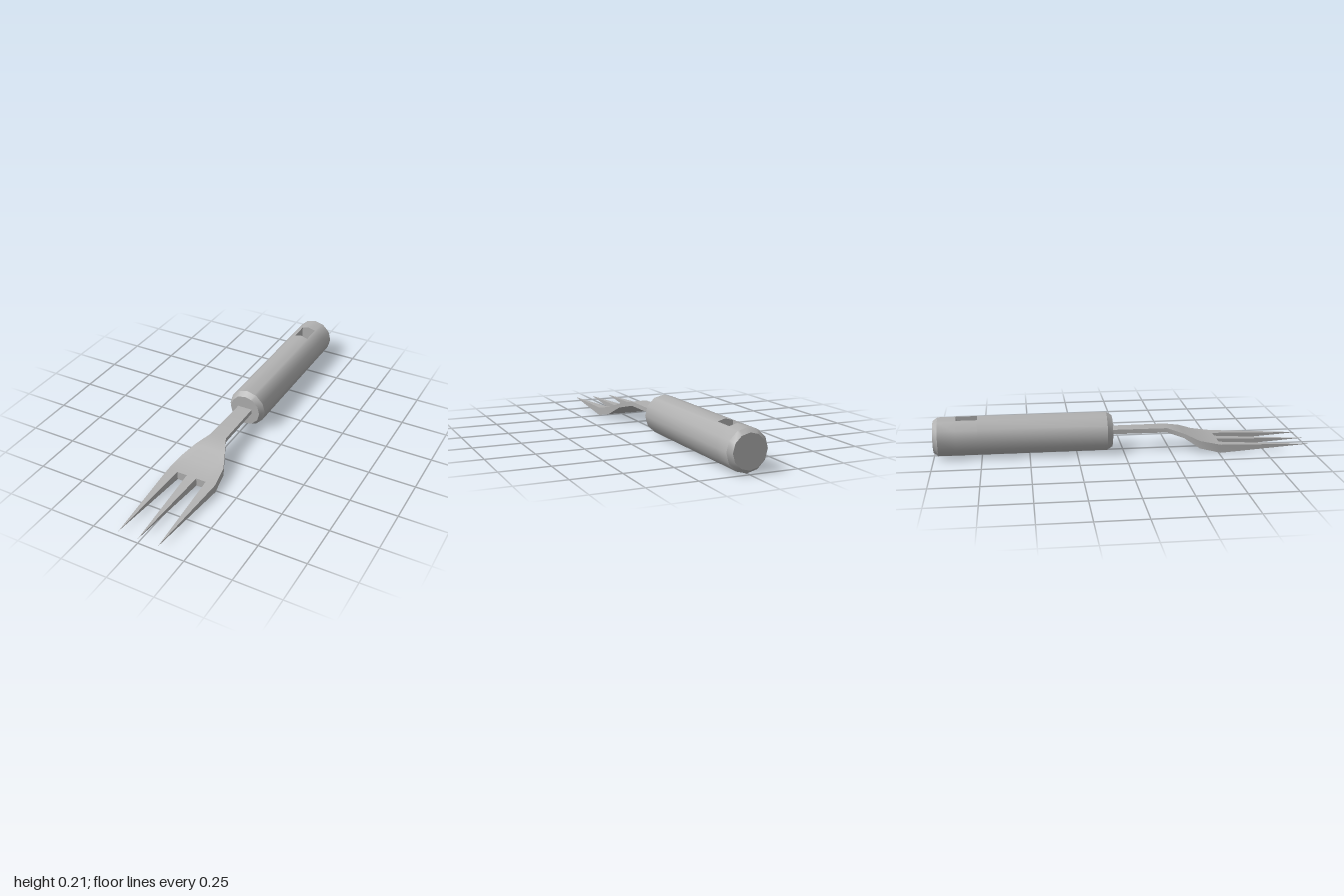
import * as THREE from 'three';
import { toCreasedNormals } from 'three/addons/utils/BufferGeometryUtils.js';

const metal = new THREE.MeshStandardMaterial({ color: 0xb0b0b0 });
metal.name = 'greyMetal';

// Collects convex polygons (corners counter-clockwise from outside) into a mesh
function makeMesh(name, build) {
  const pos = [];
  const poly = (pts) => {
    for (let i = 1; i < pts.length - 1; i++) pos.push(...pts[0], ...pts[i], ...pts[i + 1]);
  };
  build(poly);
  const geo = new THREE.BufferGeometry();
  geo.setAttribute('position', new THREE.Float32BufferAttribute(pos, 3));
  const mesh = new THREE.Mesh(toCreasedNormals(geo, 0.54), metal);
  mesh.name = name;
  return mesh;
}

// Skins consecutive rings, with optional faces left open
function loft(poly, rings, isOpen = () => false) {
  for (let s = 0; s < rings.length - 1; s++) {
    const a = rings[s], b = rings[s + 1];
    a.forEach((p, i) => {
      const j = (i + 1) % a.length;
      if (!isOpen(s, i)) poly([p, a[j], b[j], b[i]]);
    });
  }
}

// Twelve-sided bevelled grip with a rectangular hanging hole through it
function buildHandle(poly) {
  const R = 0.105, cy = 0.1065, hole = 0.04;
  const section = [];
  const holeY = R - (hole / (0.5 * R)) * R * (1 - Math.cos(Math.PI / 6));
  for (let k = 0; k < 12; k++) {
    const a = (k * Math.PI) / 6;
    if (k === 3) section.push([hole, holeY]);
    if (k === 9) section.push([-hole, -holeY]);
    section.push([R * Math.cos(a), R * Math.sin(a)]);
    if (k === 3) section.push([-hole, holeY]);
    if (k === 9) section.push([hole, -holeY]);
  }
  const stations = [[-1, 0.82], [-0.975, 1], [-0.88, 1], [-0.77, 1], [-0.09, 1], [-0.06, 0.82]];
  const rings = stations.map(([z, s]) => section.map(([x, y]) => [x * s, cy + y * s, z]));
  loft(poly, rings, (s, i) => s === 2 && [3, 4, 11, 12].includes(i));
  poly([...rings[0]].reverse());
  poly(rings[5]);

  // Inner walls of the hole
  const a = rings[2], b = rings[3], rim = [3, 4, 5, 11, 12, 13];
  poly([a[13], b[13], b[3], a[3]]);
  poly([a[11], a[5], b[5], b[11]]);
  poly(rim.map((i) => a[i]));
  poly(rim.map((i) => b[i]).reverse());
}

// Stem widening into the curved head, with three pointed tines
function buildFork(poly) {
  const columns = [-1, -0.6, -0.2, 0.2, 0.6, 1];
  // z, half width, bottom y, top y
  const stations = [
    [-0.08, 0.041, 0.098, 0.122],
    [0.235, 0.045, 0.098, 0.122],
    [0.32, 0.086, 0.076, 0.1],
    [0.4, 0.122, 0.026, 0.067],
    [0.51, 0.137, 0.002, 0.047],
  ];
  const rings = stations.map(([z, w, lo, hi]) => [
    ...columns.map((c) => [c * w, lo, z]),
    ...[...columns].reverse().map((c) => [c * w, hi, z]),
  ]);
  loft(poly, rings);
  poly([...rings[0]].reverse());

  const end = rings[4];
  for (let c = 0; c < 5; c++) {
    const base = [end[c], end[c + 1], end[10 - c], end[11 - c]];
    if (c % 2) {
      poly(base); // flat root between tines
    } else {
      const tip = [(c - 2) * 0.0545, 0.025, 1];
      base.forEach((p, i) => poly([p, base[(i + 1) % 4], tip]));
    }
  }
}

export function createModel() {
  const group = new THREE.Group();
  group.name = 'handFork';
  group.add(makeMesh('handle', buildHandle), makeMesh('forkHead', buildFork));
  return group;
}
